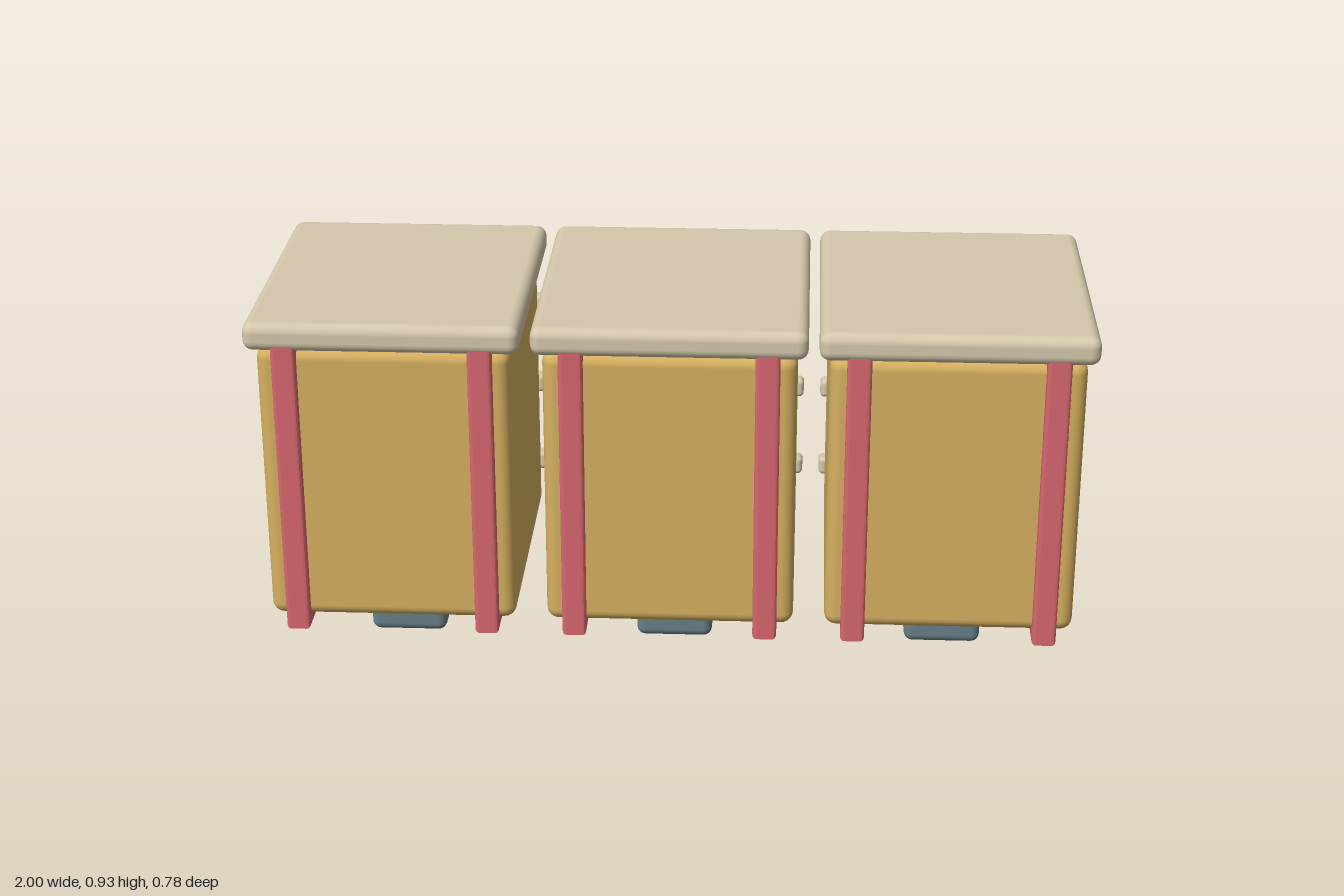
import * as THREE from 'three';
import { RoundedBoxGeometry } from 'three/addons/geometries/RoundedBoxGeometry.js';

const material = (name, color) => {
  const m = new THREE.MeshStandardMaterial({ color });
  m.name = name;
  return m;
};

// Rounded box given by its low and high limits on each axis
function block(name, mat, [x0, x1], [y0, y1], [z0, z1], radius) {
  const geo = new RoundedBoxGeometry(x1 - x0, y1 - y0, z1 - z0, 3, radius);
  geo.translate((x0 + x1) / 2, (y0 + y1) / 2, (z0 + z1) / 2);
  const mesh = new THREE.Mesh(geo, mat);
  mesh.name = name;
  return mesh;
}

// U-shaped strap: up the front, under the box and up the back
function strapGeometry() {
  const front = 0.387, back = -0.35, bottom = 0.135, t = 0.045, b = 0.009, width = 0.058;
  const points = [
    [front, 0.875], [front, bottom], [back, bottom], [back, 0.875],
    [back + t, 0.875], [back + t, bottom + t], [front - t, bottom + t], [front - t, 0.875],
  ].map(([z, y]) => new THREE.Vector2(-z, y));
  const geo = new THREE.ExtrudeGeometry(new THREE.Shape(points.reverse()), {
    depth: width - 2 * b, bevelEnabled: true, bevelThickness: b,
    bevelSize: b, bevelOffset: -b, bevelSegments: 3,
  });
  geo.translate(0, 0, -width / 2 + b);
  geo.rotateY(Math.PI / 2);
  return geo;
}

export function createModel() {
  const yellow = material('ochre body', 0xd6b060);
  const cream = material('cream trim', 0xd5c7ab);
  const red = material('red strap', 0xd9676f);
  const slate = material('slate fittings', 0x687f88);
  const model = new THREE.Group();
  model.name = 'boxRow';
  const strapGeo = strapGeometry();

  for (const i of [-1, 0, 1]) {
    const box = new THREE.Group();
    box.name = 'box';
    box.position.x = i * 0.675;
    box.add(block('body', yellow, [-0.3, 0.3], [0.16, 0.862], [-0.33, 0.366], 0.03));
    box.add(block('lid', cream, [-0.325, 0.325], [0.862, 0.932], [-0.355, 0.391], 0.025));
    box.add(block('foot', slate, [-0.095, 0.095], [0, 0.19], [-0.095, 0.132], 0.022));

    // Straps with a hinge at the back of each
    for (const x of [-0.231, 0.231]) {
      const strap = new THREE.Mesh(strapGeo, red);
      strap.name = 'strap';
      strap.position.x = x;
      box.add(strap);
      box.add(block('hinge', slate, [x - 0.03, x + 0.03], [0.782, 0.89], [-0.39, -0.335], 0.012));
    }

    // Horizontal slats across the back
    for (const y of [0.275, 0.496, 0.717]) {
      box.add(block('backSlat', cream, [-0.316, 0.316], [y - 0.024, y + 0.024], [-0.372, -0.327], 0.012));
    }
    model.add(box);
  }
  return model;
}
